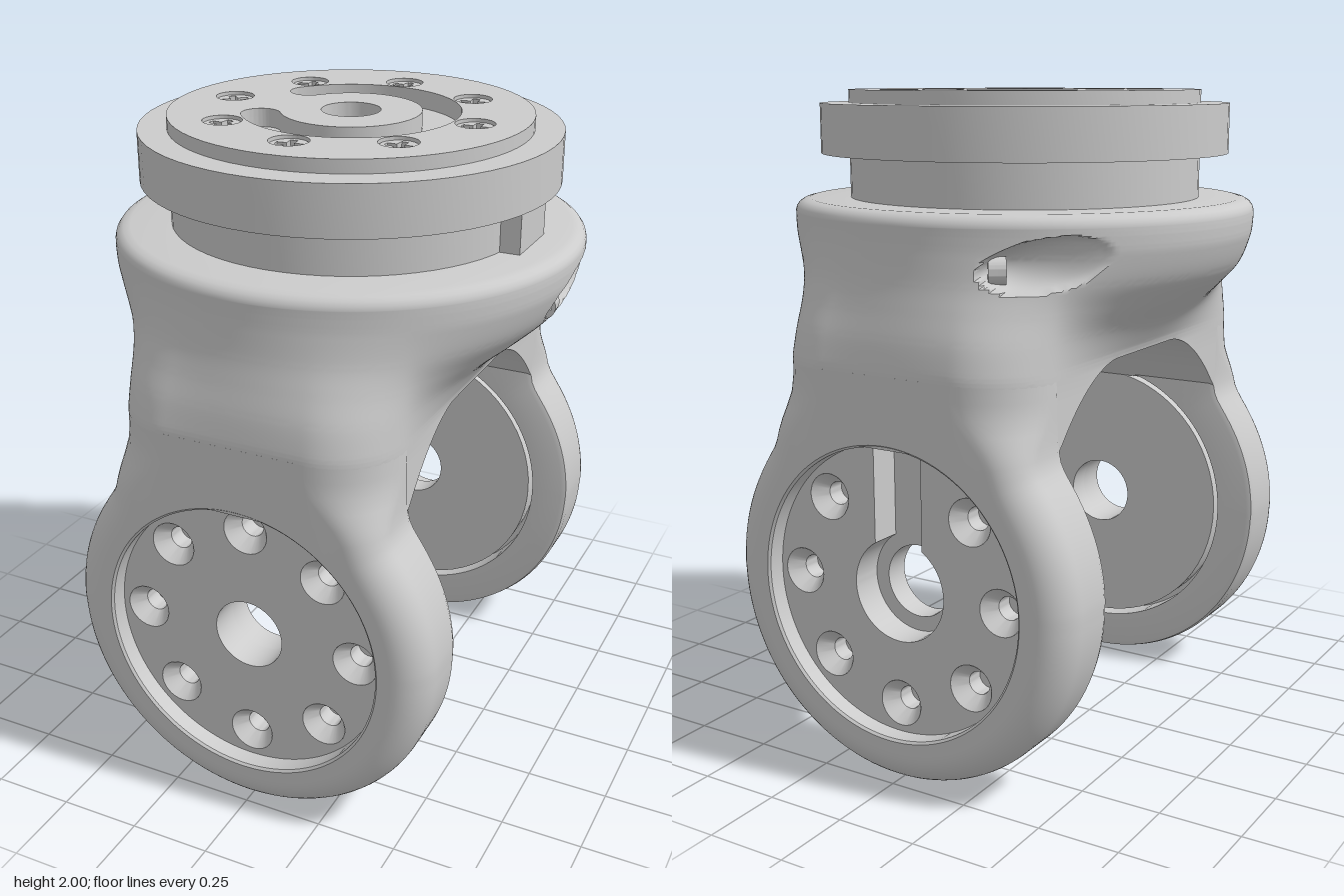
import * as THREE from 'three';
import { toCreasedNormals } from 'three/addons/utils/BufferGeometryUtils.js';

const material = new THREE.MeshStandardMaterial({ color: 0xcccccc });
const TAU = Math.PI * 2;

function addMesh(parent, name, geometry, crease = 0.5) {
  const mesh = new THREE.Mesh(toCreasedNormals(geometry, crease), material);
  mesh.name = name;
  parent.add(mesh);
  return mesh;
}

// Skin a list of equal-length point rows
function loft(rows, closed = true) {
  const n = rows[0].length;
  const index = [];
  for (let i = 0; i < rows.length - 1; i++) {
    for (let j = 0; j < (closed ? n : n - 1); j++) {
      const k = (j + 1) % n;
      const a = i * n + j, b = i * n + k, c = a + n, d = b + n;
      index.push(a, c, b, b, c, d);
    }
  }
  const geo = new THREE.BufferGeometry();
  geo.setAttribute('position', new THREE.Float32BufferAttribute(rows.flat(2), 3));
  geo.setIndex(index);
  return geo;
}

const circle = (r, x = 0, y = 0) => new THREE.Path().absarc(x, y, r, 0, TAU, false);

// Flat plate with holes, from z0 to z1
function plate(outline, holes, z0, z1) {
  const shape = new THREE.Shape(outline.getPoints(32));
  shape.holes = holes;
  return new THREE.ExtrudeGeometry(shape, { depth: z1 - z0, bevelEnabled: false, curveSegments: 32 })
    .translate(0, 0, z0);
}
const disc = (r, holes, y0, y1) => plate(circle(r), holes, y0, y1).rotateX(-Math.PI / 2);

// Cross-head screw with its face at y = 0
function screwHead() {
  const w = 0.011, l = 0.04;
  const cross = [[w, w], [w, l], [-w, l], [-w, w], [-l, w], [-l, -w], [-w, -w], [-w, -l], [w, -l], [w, -w], [l, -w], [l, w]]
    .map(([x, y]) => new THREE.Vector2(x, y));
  return disc(0.056, [new THREE.Path(cross)], -0.05, 0);
}

// Fork crown: circular rim blending down to a rounded oblong, arched underneath
const N = 320, NECK = 0.43, FACE = 0.76, CORNER = 0.21;
const ACCESS_HOLES = [-0.1, -2.2];
const arch = (z) => {
  const d = Math.max(0, Math.abs(z) - 0.16) / 0.36;
  return Math.max(1.02, 1.23 - 0.21 * d * d);
};

// Distance from the centre to a rounded rectangle along a direction
function oblongRadius(c, s) {
  const t = Math.min(NECK / Math.max(c, 1e-6), FACE / Math.max(s, 1e-6));
  const ex = NECK - CORNER, ez = FACE - CORNER;
  if (t * c <= ex || t * s <= ez) return t;
  const d = c * ex + s * ez;
  return d + Math.sqrt(Math.max(0, d * d - ex * ex - ez * ez + CORNER * CORNER));
}

function crownRing(y, blend, inset = 0) {
  const ring = [];
  for (let j = 0; j < N; j++) {
    const a = -Math.PI / 2 + j / N * TAU;
    const c = Math.cos(a), s = Math.sin(a);
    const oblong = oblongRadius(Math.abs(c), Math.abs(s));
    let r = oblong + (0.708 - oblong) * blend - inset;
    // Slanted oval access holes, deep at one end
    for (const hole of ACCESS_HOLES) {
      const u = Math.atan2(Math.sin(a - hole), Math.cos(a - hole)) * 0.67 / 0.175;
      const v = (y - 1.543 + 0.025 * u) / 0.074;
      const d = u * u + v * v;
      if (d < 1) r -= (0.073 + 0.058 * u) * (1 - d) ** 0.42;
    }
    ring.push([r * c, Math.max(y, arch(r * s)), r * s]);
  }
  return ring;
}

function addCrown(group) {
  const flare = new THREE.SplineCurve([
    [0, 1.23], [0.05, 1.26], [0.25, 1.33], [0.59, 1.41], [0.84, 1.48], [0.97, 1.56], [1, 1.61], [1, 1.642],
  ].map(([b, y]) => new THREE.Vector2(b, y)));
  const rings = [1.02, 1.09, 1.16, 1.215].map((y) => crownRing(y, 0, 0.002));
  for (const p of flare.getPoints(56)) rings.push(crownRing(p.y, p.x));
  for (const [y, inset] of [[1.653, 0.003], [1.664, 0.011], [1.672, 0.024], [1.677, 0.045], [1.677, 0.3]]) {
    rings.push(crownRing(y, 1, inset));
  }
  addMesh(group, 'forkCrown', loft(rings), 0.8);
  // Arched underside spanning the bottom ring
  const right = rings[0].slice(0, N / 2 + 1);
  const left = right.map(([x, y, z]) => [-x, y, z]);
  addMesh(group, 'crownArch', loft([left, right], false), 0.6);
  // Clamp screws at the deep ends of the access holes
  for (const hole of ACCESS_HOLES) {
    const pivot = new THREE.Group();
    pivot.name = 'clampScrew';
    pivot.rotation.y = -hole;
    const screw = addMesh(pivot, 'screw', screwHead().scale(0.7, 1, 0.7).rotateX(-Math.PI / 2));
    screw.position.set(0.635, 1.522, 0.105);
    group.add(pivot);
  }
}

// Fork arm: round eye with a neck; rounded rim around a recessed plate
const CY = 0.587, EYE = 0.585, TOP = 1.229 - CY;

// Outline and inward direction, easing from radial on the eye to sideways on the neck
const armOutline = Array.from({ length: 160 }, (_, j) => {
  const a = j / 160 * TAU, c = Math.cos(a), s = Math.sin(a);
  let r = EYE;
  if (s > 0) {
    const d = Math.min(NECK / Math.max(Math.abs(c), 1e-4), TOP / s) - EYE;
    r = Math.min(EYE + (d + Math.sqrt(d * d + 0.0008)) / 2, TOP / s);
  }
  const x = r * c, y = CY + r * s;
  const w = THREE.MathUtils.smoothstep(y, 0.85, 1.1);
  const bevel = THREE.MathUtils.lerp(0.1, CORNER, THREE.MathUtils.smoothstep(y, 1, 1.17));
  return { x, y, bevel, dx: c + (x / NECK - c) * w, dy: s * (1 - w) };
});

const armLoop = (inset, z) => armOutline.map((p) => [p.x - inset * p.dx, p.y - inset * p.dy, z]);

const bevelLoop = (t) => armOutline.map((p) => {
  const inset = p.bevel * (1 - Math.sin(t));
  return [p.x - inset * p.dx, p.y - inset * p.dy, FACE - p.bevel * (1 - Math.cos(t))];
});

const roundLoop = (r, z) => armOutline.map((_, j) => {
  const a = j / armOutline.length * TAU;
  return [r * Math.cos(a), CY + r * Math.sin(a), z];
});

function makeArm(name, slotted) {
  const arm = new THREE.Group();
  arm.name = name;
  const loops = [roundLoop(0.437, 0.68), roundLoop(0.437, 0.753), roundLoop(0.444, FACE)];
  for (let i = 0; i <= 10; i++) loops.push(bevelLoop(i / 10 * Math.PI / 2));
  loops.push(armLoop(0, 0.54), armLoop(0.006, 0.522), armLoop(0.022, 0.516));
  loops.push(roundLoop(0.46, 0.516), roundLoop(0.46, 0.61));
  addMesh(arm, 'armRim', loft(loops), 0.6);

  // Hub hole, opened into a keyhole on the slotted arm
  let hub = circle(0.11);
  if (slotted) {
    const half = 0.082, d = Math.asin(half / 0.155);
    hub = new THREE.Path().absarc(0, 0, 0.155, Math.PI / 2 + d, Math.PI / 2 - d + TAU, false);
    hub.lineTo(half, 0.434);
    hub.lineTo(-half, 0.434);
    hub.closePath();
  }
  const holes = [hub];
  for (let i = 0; i < 8; i++) {
    if (slotted && i === 2) continue;
    const x = 0.348 * Math.cos(i * TAU / 8), y = 0.348 * Math.sin(i * TAU / 8);
    holes.push(circle(0.07, x, y));
    const sink = new THREE.LatheGeometry(
      [[0.035, -0.1], [0.035, -0.045], [0.07, 0]].map(([r, h]) => new THREE.Vector2(r, h)), 32);
    const mesh = addMesh(arm, 'countersink', sink);
    mesh.material = material.clone();
    mesh.material.side = THREE.DoubleSide;
    mesh.rotation.x = Math.PI / 2;
    mesh.position.set(x, CY + y, 0.7);
  }
  addMesh(arm, 'outerPlate', plate(circle(0.465), holes, 0.6, 0.7)).position.y = CY;
  addMesh(arm, 'innerPlate', plate(circle(0.443), [circle(0.11)], 0.522, 0.6)).position.y = CY;
  return arm;
}

// Turntable: drum, collar, grooved top plate and cross-head screws
function addTurntable(group) {
  const table = new THREE.Group();
  table.name = 'turntable';
  group.add(table);
  addMesh(table, 'drum', disc(0.54, [], 1.66, 1.945));
  addMesh(table, 'collar', disc(0.627, [circle(0.535)], 1.81, 1.96));

  const end = 2.52, mid = 0.2675, half = 0.0575;
  const groove = new THREE.Path().absarc(0, 0, mid + half, -end, end, false);
  groove.absarc(mid * Math.cos(end), mid * Math.sin(end), half, end, end + Math.PI, false);
  groove.absarc(0, 0, mid - half, end, -end, true);
  groove.absarc(mid * Math.cos(end), -mid * Math.sin(end), half, -end + Math.PI, -end + TAU, false);
  const holes = [groove, circle(0.088)];

  for (let i = 0; i < 8; i++) {
    const a = i * TAU / 8, x = 0.39 * Math.cos(a), y = 0.39 * Math.sin(a);
    holes.push(circle(0.058, x, y));
    const screw = addMesh(table, 'screw', screwHead());
    screw.position.set(x, 1.99, -y);
    screw.rotation.y = i === 4 ? 0.8 : 0.12 * Math.sin(i * 2.3);
  }
  addMesh(table, 'topPlate', disc(0.54, holes, 1.945, 2));
  addMesh(table, 'stopTab', new THREE.BoxGeometry(0.1, 0.14, 0.207)).position.set(0.535, 1.745, 0.023);
}

export function createModel() {
  const group = new THREE.Group();
  group.name = 'swivelFork';
  addCrown(group);
  group.add(makeArm('frontArm', false));
  const back = makeArm('backArm', true);
  back.rotation.y = Math.PI;
  group.add(back);
  addTurntable(group);
  return group;
}
